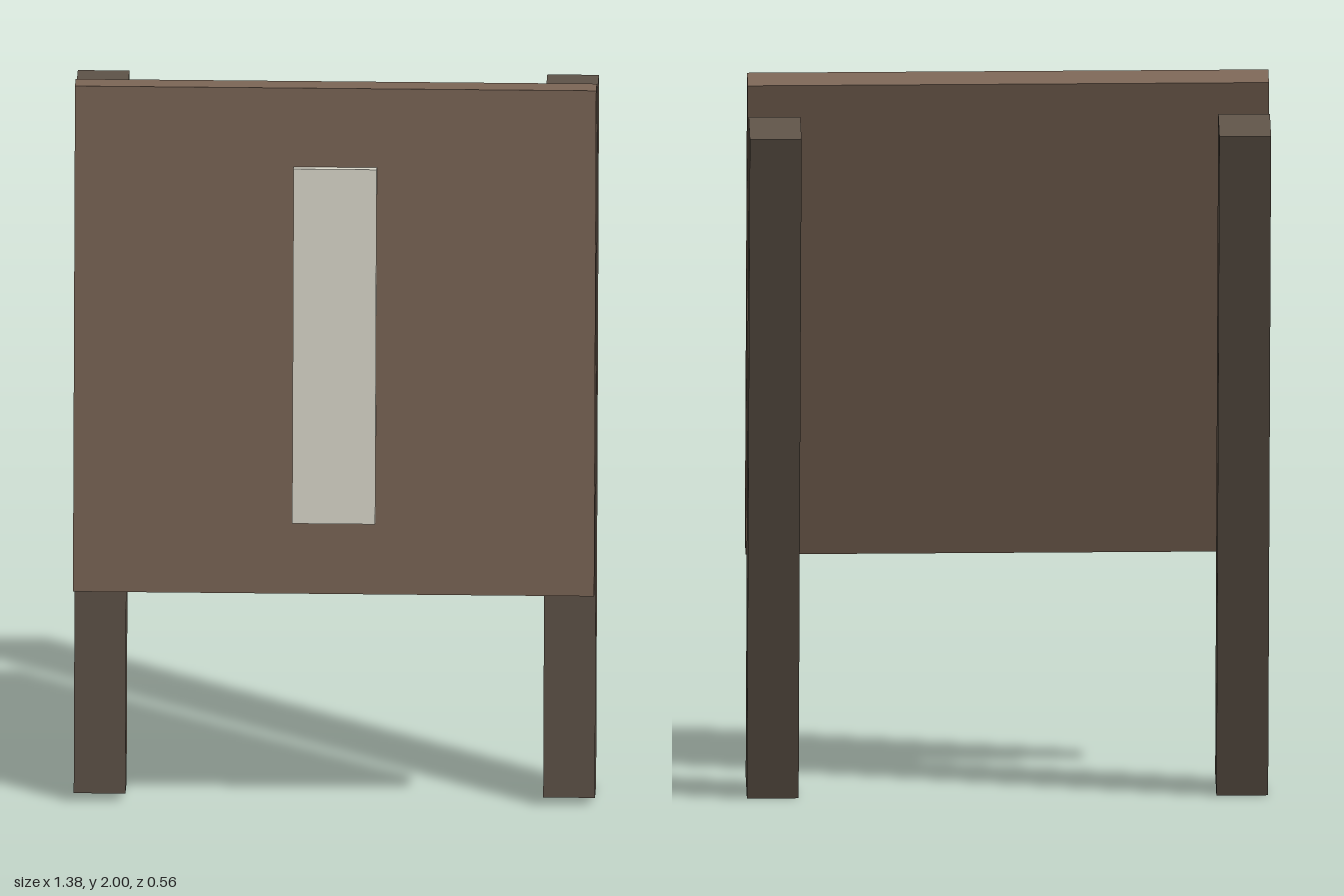
import * as THREE from 'three';

const TILT = -THREE.MathUtils.degToRad(10);

function box(name, size, position, color) {
  const mesh = new THREE.Mesh(
    new THREE.BoxGeometry(...size),
    new THREE.MeshStandardMaterial({ color })
  );
  mesh.name = name;
  mesh.position.set(...position);
  return mesh;
}

export function createModel() {
  const model = new THREE.Group();
  model.name = 'leaningSignboard';

  // Board leaning back, with a pale strip on its face
  const board = new THREE.Group();
  board.name = 'board';
  board.position.set(0, 1.315, 0.119);
  board.rotation.x = TILT;
  board.add(box('panel', [1.38, 1.376, 0.08], [0, 0, 0], 0x7f6959));
  board.add(box('strip', [0.22, 0.965, 0.025], [0, -0.009, 0.0525], 0xe4e2d4));
  model.add(board);

  // Two square posts standing behind the board at the same slant
  for (const side of [1, -1]) {
    const post = box(side > 0 ? 'leftPost' : 'rightPost',
      [0.137, 1.935, 0.137], [side * 0.6215, 0.965, -0.047], 0x61554a);
    post.rotation.x = TILT;
    model.add(post);
  }

  return model;
}
